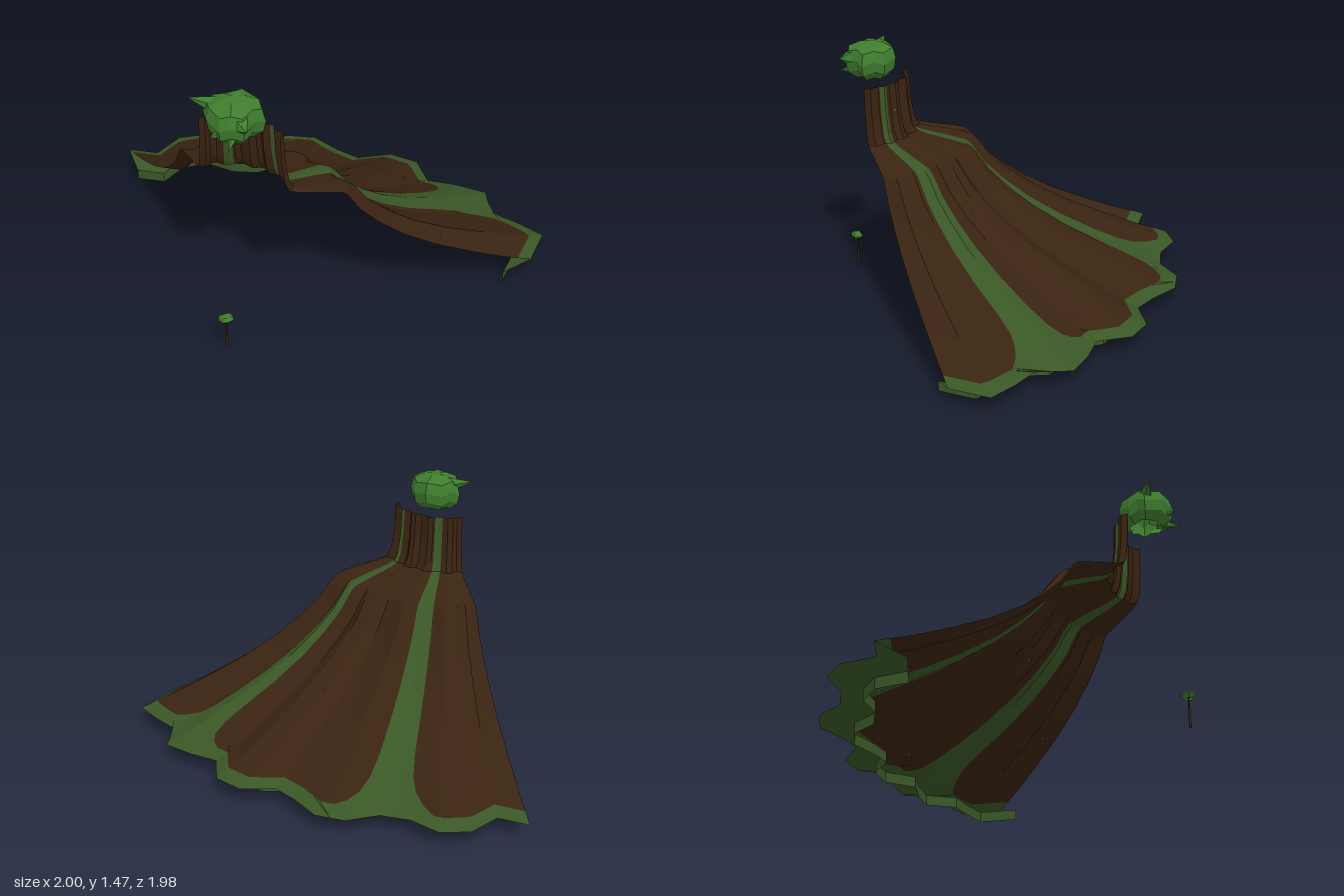
import * as THREE from 'three';
import { toCreasedNormals } from 'three/addons/utils/BufferGeometryUtils.js';

const mat = (name, color) => new THREE.MeshStandardMaterial({ name, color, side: THREE.DoubleSide });
const bark = mat('bark brown', 0x3a2311);
const moss = mat('moss green', 0x3a5726);
const leaf = mat('leaf green', 0x3f7d2e);

// Corner axis of the quarter slope
const CX = -0.92, CZ = 0.9, RMAX = 1.93, DEG = Math.PI / 180;

// Scalloped rim seen from above, from the +x end round to the -z end
const rim = [
  [0.83, 0.9], [1.0, 0.73], [0.92, 0.57], [0.83, 0.43], [0.89, 0.24], [0.77, 0.11], [0.63, 0],
  [0.65, -0.2], [0.54, -0.335], [0.34, -0.375], [0.26, -0.5], [0.18, -0.68], [0.03, -0.765],
  [-0.16, -0.745], [-0.31, -0.82], [-0.43, -0.965], [-0.6, -0.99], [-0.77, -0.88], [-0.92, -0.98],
].map(([x, z]) => [x - CX, CZ - z]);
const rimAngles = rim.map(([x, y]) => Math.atan2(y, x) / DEG);

// Slope profile: radius, height, widening of the green stripes in degrees
const profile = [
  [0.335, 1.255, 0], [0.342, 1.1, 0], [0.36, 0.98, 0], [0.385, 0.93, 0], [0.43, 0.912, 0],
  [0.6, 0.872, 0], [0.7, 0.846, 0], [0.73, 0.82, 0], [0.81, 0.71, 0], [0.93, 0.6, 0],
  [1.08, 0.49, 0], [1.28, 0.375, 0], [1.5, 0.272, 0], [1.65, 0.207, 0.4], [1.74, 0.17, 1.3],
  [1.8, 0.148, 2.8], [1.84, 0.134, 4.6], [RMAX, 0.1, 0], [1.745, 0.06, 0], [1.745, 0, 0],
];
const BROWN_END = 16, RIM_ROW = 17;
const stripes = [[16.3, 23.5], [62, 69.5]];

// Rim radius along a ray, relative to the widest lobe
function lobe(deg) {
  let i = 0;
  while (i < rim.length - 2 && rimAngles[i + 1] < deg) i++;
  const [ax, ay] = rim[i], [bx, by] = rim[i + 1];
  const c = Math.cos(deg * DEG), s = Math.sin(deg * DEG);
  return (ax * (by - ay) - ay * (bx - ax)) / (c * (by - ay) - s * (bx - ax)) / RMAX;
}

function slopePoint(deg, r, y) {
  const k = r * lobe(deg);
  return [CX + k * Math.cos(deg * DEG), y, CZ - k * Math.sin(deg * DEG)];
}

// Pushes angles away from the stripes so the brown lobes end rounded
function widen(deg, f) {
  let out = deg;
  for (const [lo, hi] of stripes) {
    const half = (hi - lo) / 2, d = deg - (lo + hi) / 2, a = Math.abs(d);
    out += f * (a <= half ? d / half : Math.sign(d) * Math.max(0, 1 - (a - half) / 12));
  }
  return out;
}

function buildSlope(group) {
  const cols = [...rimAngles, ...stripes.flat()];
  for (let i = 0; i < rimAngles.length - 1; i++) cols.push((rimAngles[i] + rimAngles[i + 1]) / 2);
  cols.sort((a, b) => a - b);
  const grid = profile.map(([r, y, f]) => cols.map((d) => slopePoint(widen(d, f), r, y)));
  const parts = { barkSlope: [], mossBorder: [], baseSkirt: [] };
  for (let i = 0; i < profile.length - 1; i++) {
    for (let j = 0; j < cols.length - 1; j++) {
      const mid = (cols[j] + cols[j + 1]) / 2;
      const green = i >= BROWN_END || stripes.some(([lo, hi]) => mid > lo && mid < hi);
      const part = i >= RIM_ROW ? 'baseSkirt' : green ? 'mossBorder' : 'barkSlope';
      const a = grid[i][j], b = grid[i + 1][j], c = grid[i + 1][j + 1], d = grid[i][j + 1];
      parts[part].push(...a, ...b, ...c, ...a, ...c, ...d);
    }
  }
  for (const name in parts) {
    const g = new THREE.BufferGeometry();
    g.setAttribute('position', new THREE.Float32BufferAttribute(parts[name], 3));
    const mesh = new THREE.Mesh(toCreasedNormals(g, 0.3), name === 'barkSlope' ? bark : moss);
    mesh.name = name;
    group.add(mesh);
  }
}

// Faceted foliage: one outline repeated at several heights, closed by a tip
function foliage(name, outline, rings, tip) {
  const pos = [], n = outline.length;
  const [cx, , cz] = tip;
  const at = (i, j) => {
    const [s, y, wave] = rings[i], [x, z] = outline[j % n];
    return [cx + (x - cx) * s, y + wave * (j % 2 ? 1 : -1), cz + (z - cz) * s];
  };
  for (let j = 0; j < n; j++) {
    pos.push(...tip, ...at(0, j), ...at(0, j + 1));
    for (let i = 0; i < rings.length - 1; i++) {
      const a = at(i, j), b = at(i + 1, j), c = at(i + 1, j + 1), d = at(i, j + 1);
      pos.push(...a, ...b, ...c, ...a, ...c, ...d);
    }
  }
  const g = new THREE.BufferGeometry();
  g.setAttribute('position', new THREE.Float32BufferAttribute(pos, 3));
  g.computeVertexNormals();
  const mesh = new THREE.Mesh(g, leaf);
  mesh.name = name;
  return mesh;
}

// Small tufts scattered on the slope, given by height and z
function addTufts(group) {
  const spots = [[0.38, 0.84], [0.61, 0.42], [0.42, 0.13], [0.18, 0.03], [1.1, 0.72], [0.78, 0.38], [0.77, 0.22]];
  const geo = new THREE.BoxGeometry(0.01, 0.012, 0.01);
  for (const [y, z] of spots) {
    const i = profile.findIndex((p) => p[1] < y);
    const [r0, y0] = profile[i - 1], [r1, y1] = profile[i];
    const r = r0 + (r1 - r0) * (y0 - y) / (y0 - y1);
    let deg = 45;
    for (let k = 0; k < 8; k++) deg = Math.asin(Math.min(1, (CZ - z) / (r * lobe(deg)))) / DEG;
    const tuft = new THREE.Mesh(geo, leaf);
    tuft.name = 'tuft';
    tuft.position.set(...slopePoint(deg, r, y));
    group.add(tuft);
  }
}

export function createModel() {
  const model = new THREE.Group();
  model.name = 'quarterTreeHill';
  buildSlope(model);

  // Crown floating above the hollow trunk, counter-clockwise from above
  const crownOutline = [
    [-0.93, 0.69], [-0.95, 0.8], [-0.92, 0.9], [-0.87, 0.93], [-0.81, 0.95], [-0.74, 0.91],
    [-0.68, 0.89], [-0.67, 0.82], [-0.67, 0.76], [-0.72, 0.68], [-0.82, 0.66], [-0.88, 0.68],
  ];
  model.add(foliage('crown', crownOutline,
    [[0.45, 1.462, 0.004], [0.88, 1.432, 0.008], [1, 1.37, 0.012], [0.92, 1.31, 0.01], [0.62, 1.268, 0.006]],
    [-0.81, 1.47, 0.79]));

  // Pointed leaf clumps at the crown's edge: tip, base centre, thickness
  const clumps = [
    [[-1, 1.44, 0.67], [-0.88, 1.41, 0.74], 0.045], [[-0.96, 1.32, 0.88], [-0.87, 1.33, 0.84], 0.04],
    [[-0.81, 1.38, 0.985], [-0.81, 1.38, 0.88], 0.08], [[-0.9, 1.285, 0.97], [-0.83, 1.31, 0.86], 0.035],
  ];
  for (const [t, b, w] of clumps) {
    const tip = new THREE.Vector3(...t), base = new THREE.Vector3(...b), dir = tip.clone().sub(base);
    const g = new THREE.ConeGeometry(w, dir.length(), 5).toNonIndexed();
    g.computeVertexNormals();
    const clump = new THREE.Mesh(g, leaf);
    clump.name = 'leafClump';
    clump.position.copy(tip.add(base).multiplyScalar(0.5));
    clump.quaternion.setFromUnitVectors(new THREE.Vector3(0, 1, 0), dir.normalize());
    model.add(clump);
  }

  // Little tree standing at the corner
  const stem = new THREE.Mesh(new THREE.CylinderGeometry(0.004, 0.008, 0.17, 6), bark);
  stem.name = 'smallTreeTrunk';
  stem.position.set(-0.928, 0.15, 0.905);
  model.add(stem);
  const ring = Array.from({ length: 8 }, (_, i) => {
    const a = i * Math.PI / 4, r = i % 2 ? 0.047 : 0.038;
    return [-0.928 + r * Math.sin(a), 0.908 + r * 0.85 * Math.cos(a)];
  });
  model.add(foliage('smallTreeCrown', ring, [[0.6, 0.258, 0], [1, 0.242, 0.003], [0.55, 0.223, 0]], [-0.928, 0.265, 0.908]));

  addTufts(model);
  return model;
}
